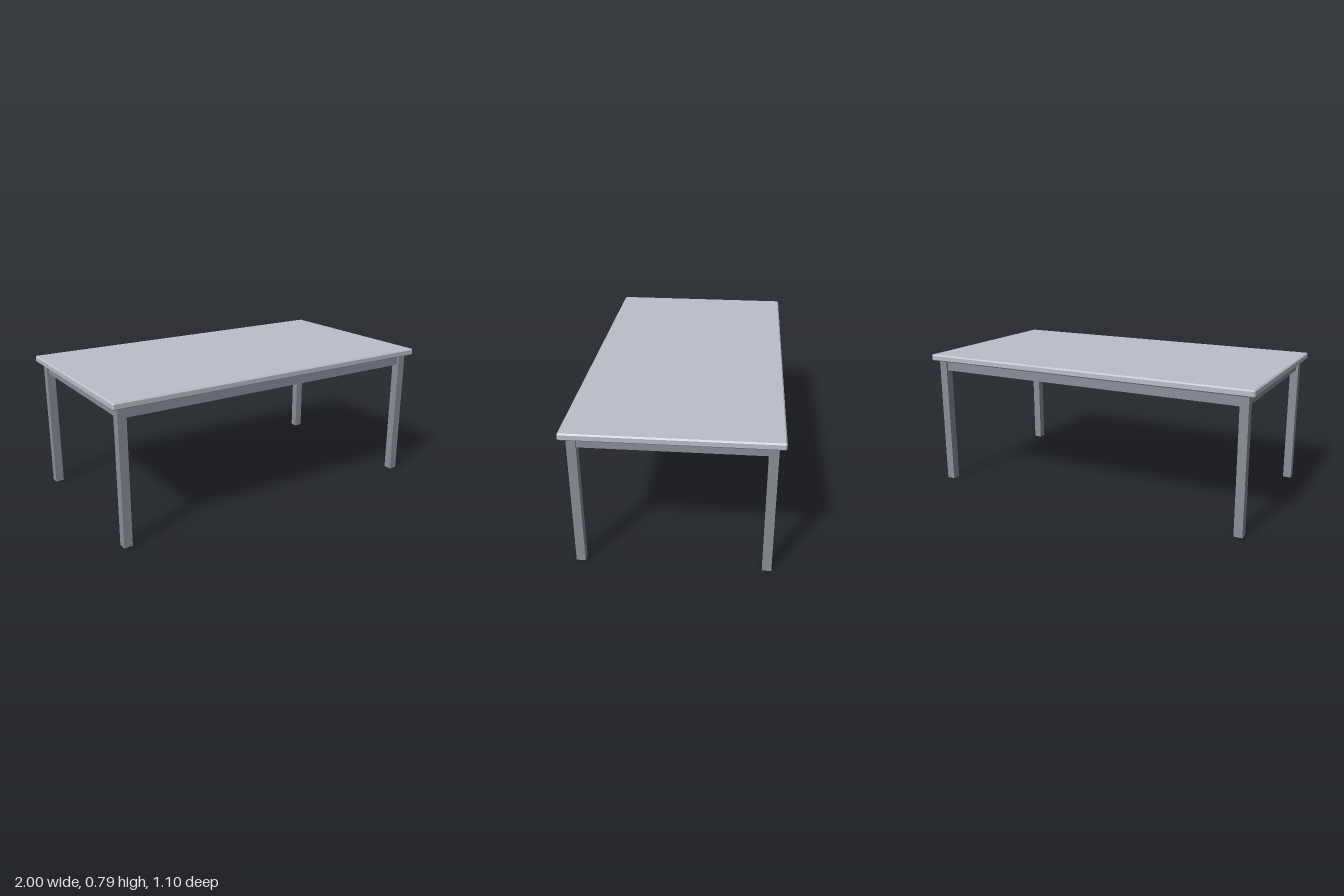
import * as THREE from 'three';
import { ConvexGeometry } from 'three/addons/geometries/ConvexGeometry.js';

// Box with every edge and corner chamfered by b
function chamferedBox(w, h, d, b) {
  const points = [];
  for (const sx of [-1, 1]) for (const sy of [-1, 1]) for (const sz of [-1, 1]) {
    const x = w / 2, y = h / 2, z = d / 2;
    points.push(
      new THREE.Vector3(sx * x, sy * (y - b), sz * (z - b)),
      new THREE.Vector3(sx * (x - b), sy * y, sz * (z - b)),
      new THREE.Vector3(sx * (x - b), sy * (y - b), sz * z)
    );
  }
  return new ConvexGeometry(points);
}

export function createModel() {
  const group = new THREE.Group();
  group.name = 'table';

  const topMaterial = new THREE.MeshStandardMaterial({ color: 0xbcbfc8 });
  topMaterial.name = 'light grey';
  const frameMaterial = new THREE.MeshStandardMaterial({ color: 0x8a8f98 });
  frameMaterial.name = 'mid grey';

  const add = (name, geometry, material, x, y, z) => {
    const mesh = new THREE.Mesh(geometry, material);
    mesh.name = name;
    mesh.position.set(x, y, z);
    group.add(mesh);
  };

  const underside = 0.752, topThickness = 0.038;
  const leg = 0.048, legX = 0.941, legZ = 0.491;
  const apronHeight = 0.06, apronThickness = 0.024;
  const apronY = underside - apronHeight / 2;

  // Tabletop
  add('tabletop', chamferedBox(2, topThickness, 1.096, 0.007), topMaterial,
    0, underside + topThickness / 2, 0);

  // Square legs
  const legGeometry = new THREE.BoxGeometry(leg, underside, leg);
  for (const [side, sx] of [['Left', 1], ['Right', -1]])
    for (const [end, sz] of [['front', 1], ['back', -1]])
      add(`${end}${side}Leg`, legGeometry, frameMaterial, sx * legX, underside / 2, sz * legZ);

  // Apron rails running between the legs
  const longRail = new THREE.BoxGeometry(2 * legX - leg, apronHeight, apronThickness);
  const shortRail = new THREE.BoxGeometry(apronThickness, apronHeight, 2 * legZ - leg);
  add('frontApron', longRail, frameMaterial, 0, apronY, legZ);
  add('backApron', longRail, frameMaterial, 0, apronY, -legZ);
  add('leftApron', shortRail, frameMaterial, legX, apronY, 0);
  add('rightApron', shortRail, frameMaterial, -legX, apronY, 0);

  return group;
}
